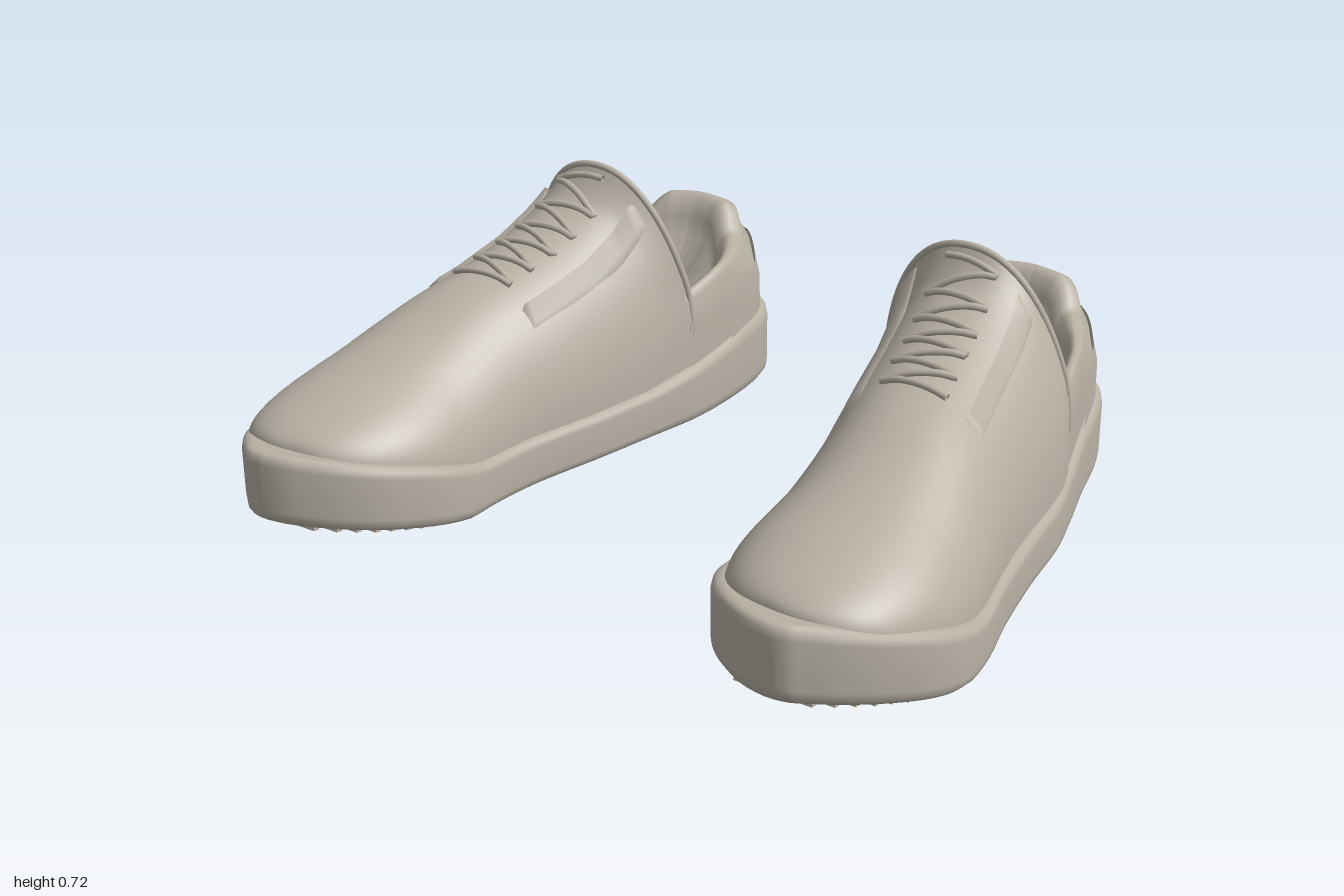
import * as THREE from 'three';

const { lerp, clamp, smoothstep } = THREE.MathUtils;

// Sole outline: z, inner x, outer x
const SOLE = [
  [-0.87, 0.5, 0.53], [-0.855, 0.42, 0.61], [-0.82, 0.355, 0.69], [-0.75, 0.3, 0.745],
  [-0.65, 0.272, 0.78], [-0.5, 0.262, 0.815], [-0.35, 0.27, 0.855], [-0.2, 0.3, 0.89],
  [0, 0.34, 0.915], [0.2, 0.385, 0.95], [0.35, 0.4, 0.985], [0.5, 0.4, 1.0],
  [0.6, 0.425, 0.98], [0.7, 0.475, 0.925], [0.78, 0.545, 0.86], [0.835, 0.62, 0.8],
  [0.858, 0.67, 0.77], [0.868, 0.715, 0.735],
];
// Vamp stations: z, inner x, outer x, ridge height
const VAMP = [
  [0.792, 0.73, 0.73, 0.24], [0.787, 0.68, 0.78, 0.265], [0.77, 0.605, 0.835, 0.283],
  [0.735, 0.545, 0.885, 0.302], [0.68, 0.495, 0.925, 0.322], [0.6, 0.455, 0.955, 0.347],
  [0.5, 0.43, 0.972, 0.373], [0.35, 0.42, 0.962, 0.42], [0.2, 0.405, 0.93, 0.475],
  [0.05, 0.37, 0.9, 0.517], [-0.1, 0.34, 0.883, 0.565], [-0.2, 0.315, 0.868, 0.62],
  [-0.25, 0.3, 0.85, 0.665], [-0.29, 0.29, 0.83, 0.713],
];
const SOLE_TOP = [[-0.87, 0.215], [-0.6, 0.205], [-0.4, 0.175], [-0.2, 0.145], [0, 0.14],
  [0.4, 0.14], [0.6, 0.205], [0.8, 0.262], [0.87, 0.28]];
const RIM = [[-0.87, 0.513], [-0.84, 0.508], [-0.8, 0.475], [-0.76, 0.442], [-0.66, 0.428],
  [-0.5, 0.405], [-0.35, 0.37]];
const BULGE = 2.2; // roundness of the vamp cross-section

// Smooth sample of a table by row number
function sample(rows, u) {
  const n = rows.length - 1, i = Math.min(Math.floor(u), n - 1), f = u - i;
  const [p, a, b, q] = [rows[Math.max(i - 1, 0)], rows[i], rows[i + 1], rows[Math.min(i + 2, n)]];
  return a.map((_, k) => {
    const m0 = (b[k] - p[k]) / 2, m1 = (q[k] - a[k]) / 2, d = b[k] - a[k];
    return a[k] + f * (m0 + f * (3 * d - 2 * m0 - m1 + f * (m0 + m1 - 2 * d)));
  });
}

// Straight lookup of a table column by z
function at(rows, z, k = 1) {
  const r = rows[0][0] < rows[rows.length - 1][0] ? rows : [...rows].reverse();
  let i = 0;
  while (i < r.length - 2 && z > r[i + 1][0]) i++;
  return lerp(r[i][k], r[i + 1][k], clamp((z - r[i][0]) / (r[i + 1][0] - r[i][0]), 0, 1));
}

const soleTop = (z) => at(SOLE_TOP, z);
const soleBottom = (z) => 0.006 + Math.max(0, (z - 0.45) * 0.2);
const soleMid = (z) => (at(SOLE, z, 1) + at(SOLE, z, 2)) / 2;

// Surface swept over (nu x nv) cells; fn(u, v, j) returns a point
function grid(nu, nv, fn) {
  const pos = [], idx = [];
  for (let i = 0; i <= nu; i++) for (let j = 0; j <= nv; j++) pos.push(...fn(i / nu, j / nv, j));
  for (let i = 0; i < nu; i++) for (let j = 0; j < nv; j++) {
    const a = i * (nv + 1) + j, b = a + nv + 1;
    idx.push(a, b, a + 1, b, b + 1, a + 1);
  }
  const g = new THREE.BufferGeometry();
  g.setAttribute('position', new THREE.Float32BufferAttribute(pos, 3));
  g.setIndex(idx);
  g.computeVertexNormals();
  return g;
}

// Outline point moved towards the shoe's middle line
function inward(x, z, dist, back, front) {
  const az = clamp(z, back, front), ax = soleMid(az);
  const len = Math.hypot(ax - x, az - z), f = Math.min(dist / len, 1);
  return [lerp(x, ax, f), lerp(z, az, f)];
}

// Sole: rounded wall, closed below and above (inset, height share)
function soleGeometry() {
  const profile = [[1, 0], [0.12, 0], [0.03, 0], [0.012, 0.03], [0.002, 0.1], [0, 0.2], [0, 0.5],
    [0, 0.82], [0.004, 0.92], [0.014, 0.98], [0.03, 1], [0.12, 1], [1, 1]];
  const n = SOLE.length - 1;
  return grid(140, profile.length - 1, (u, v, j) => {
    const w = u * 2;
    const r = sample(SOLE, (w <= 1 ? w : 2 - w) * n);
    const k = u === 1 || w === 0 ? 1 : w <= 1 ? 1 : 2;
    const [x, z] = inward(r[k], r[0], profile[j][0], -0.6, 0.55);
    return [x, lerp(soleBottom(z), soleTop(z), profile[j][1]), z];
  });
}

// Vamp point: u from toe to throat, v from outer side over the ridge to inner side
function vampPoint(u, v) {
  const [z, a, b, h] = sample(VAMP, u * (VAMP.length - 1));
  const t = v * Math.PI, c = Math.cos(t), base = soleTop(z) - 0.03;
  const x = (a + b) / 2 + ((b - a) / 2) * Math.sign(c) * Math.abs(c) ** (2 / BULGE);
  const y = base + (h - base) * Math.max(Math.sin(t), 0) ** (2 / BULGE);
  // throat edge slants backwards towards the sole
  const slant = smoothstep(-z, 0.1, 0.29) * clamp((0.713 - y) / 0.34, 0, 1);
  return [x, y, z - 0.075 * slant];
}

// Height of the vamp at a given place
function vampY(x, z) {
  const a = at(VAMP, z, 1), b = at(VAMP, z, 2), h = at(VAMP, z, 3), base = soleTop(z) - 0.03;
  const rel = Math.min(Math.abs((x - (a + b) / 2) / ((b - a) / 2)), 1);
  return base + (h - base) * (1 - rel ** BULGE) ** (1 / BULGE);
}

// Collar cross-section: inset and height, at the sides and at the heel
const SIDE = [[0.02, 0.12], [0.022, 0.28], [0.028, -0.06], [0.034, -0.02], [0.042, -0.004], [0.052, 0],
  [0.062, -0.006], [0.07, -0.03], [0.076, -0.09], [0.09, 0.2]];
const HEEL = [[0.03, 0.12], [0.034, 0.3], [0.05, -0.1], [0.075, -0.06], [0.088, -0.015], [0.12, 0],
  [0.15, -0.015], [0.17, -0.06], [0.185, -0.12], [0.33, 0.2]];

// Collar point: s from +1 (outer front) round the heel to -1 (inner front)
function collarPoint(s, j, lift = 0, reach = 6) {
  const r = sample(SOLE, Math.abs(s) * reach), z0 = r[0], x0 = s >= 0 ? r[2] : r[1];
  const w = smoothstep(-z0, 0.5, 0.84), rim = at(RIM, z0);
  const height = (p) => (p[1] > 0.1 ? p[1] : rim + p[1]);
  const [x, z] = inward(x0, z0, lerp(SIDE[j][0], HEEL[j][0], w) - lift, -0.5, 0.5);
  return [x, lerp(height(SIDE[j]), height(HEEL[j]), w), z];
}

const tube = (pts, radius, n) => new THREE.TubeGeometry(
  new THREE.CatmullRomCurve3(pts.map((p) => new THREE.Vector3(...p)), false, 'centripetal'), n, radius, 8);

// Lace: bars across the throat joined by diagonals
function laceGeometry() {
  const corners = [];
  for (let i = 0; i < 6; i++) {
    const z = 0.11 - i * 0.073, c = soleMid(z) - 0.012;
    corners.push([c + 0.09, z], [c - 0.09, z - 0.012]);
  }
  const pts = [];
  for (let i = 0; i < corners.length - 1; i++) for (let k = 0; k < 5; k++) {
    const x = lerp(corners[i][0], corners[i + 1][0], k / 5);
    const z = lerp(corners[i][1], corners[i + 1][1], k / 5);
    pts.push([x, vampY(x, z) + 0.012, z]);
  }
  return tube(pts, 0.009, 220);
}

// Raised strip beside the laces, dx from the middle line
function eyestayGeometry(dx) {
  const section = [[0.022, -0.012], [0.018, 0.012], [-0.018, 0.012], [-0.022, -0.012]];
  return grid(24, 3, (u, v, j) => {
    const z = lerp(0.125, -0.28, u), x = soleMid(z) + dx + section[j][0];
    return [x, vampY(x, z) + (u === 0 || u === 1 ? -0.012 : section[j][1]), z];
  });
}

function buildShoe(material) {
  const shoe = new THREE.Group();
  const add = (name, geometry) => {
    const mesh = new THREE.Mesh(geometry, material);
    mesh.name = name;
    shoe.add(mesh);
    return mesh;
  };
  add('sole', soleGeometry());
  add('vamp', grid(70, 36, vampPoint));
  add('throatEdge', tube(Array.from({ length: 25 }, (_, i) => vampPoint(1, 0.06 + (i / 24) * 0.88)), 0.009, 60));
  add('collar', grid(80, SIDE.length - 1, (u, v, j) => collarPoint(1 - 2 * u, j)));
  // heel counter with slanted front edges
  add('heelCounter', grid(60, 2, (u, v, j) => collarPoint(1 - 2 * u, j, 0.008, 5 - j * 0.42)));
  add('lace', laceGeometry());
  add('innerEyestay', eyestayGeometry(-0.17));
  add('outerEyestay', eyestayGeometry(0.15));
  // tread ribs across the underside
  for (let z = -0.82; z < 0.82; z += 0.036) {
    const a = at(SOLE, z, 1) + 0.035, b = at(SOLE, z, 2) - 0.035;
    const rib = add('treadRib', new THREE.BoxGeometry(b - a, 0.01, 0.018));
    rib.position.set((a + b) / 2, soleBottom(z) - 0.001, z);
    rib.rotation.x = z > 0.45 ? -Math.atan(0.2) : 0;
  }
  return shoe;
}

export function createModel() {
  const material = new THREE.MeshStandardMaterial({ color: 0xb8b1a5, side: THREE.DoubleSide });
  material.name = 'warm grey';
  const model = new THREE.Group();
  model.name = 'pairOfShoes';
  const left = buildShoe(material), right = buildShoe(material);
  left.name = 'leftShoe';
  right.name = 'rightShoe';
  right.scale.x = -1;
  model.add(left, right);
  return model;
}
